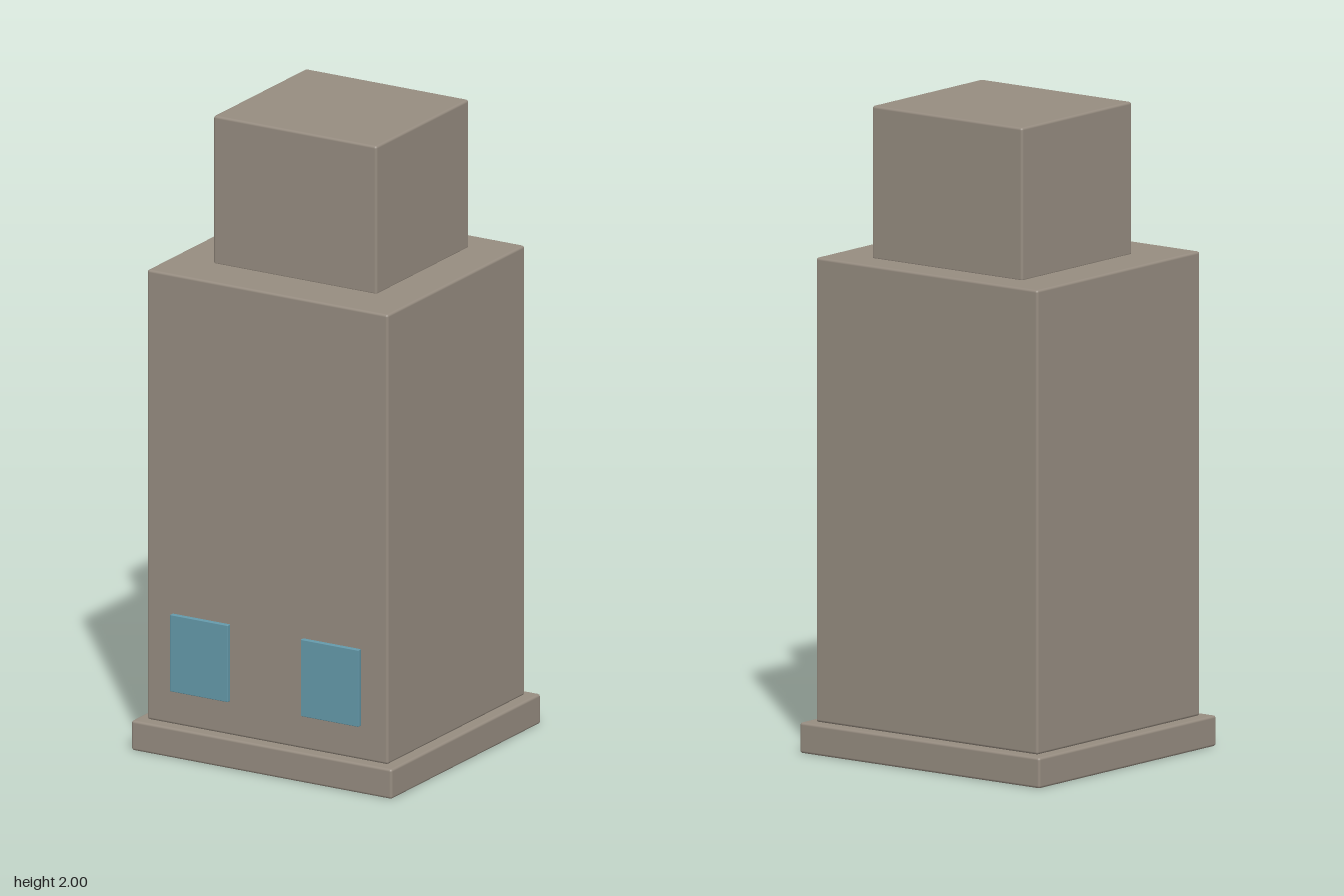
import * as THREE from 'three';
import { RoundedBoxGeometry } from 'three/addons/geometries/RoundedBoxGeometry.js';

const stone = new THREE.MeshStandardMaterial({ color: 0x968c80 });
stone.name = 'warm grey stone';
const glass = new THREE.MeshStandardMaterial({ color: 0x6499aa });
glass.name = 'blue glass';

export function createModel() {
  const tower = new THREE.Group();
  tower.name = 'tower';

  // Softly bevelled block given by its size, base height and depth position
  function block(name, [w, h, d], [x, y, z], material, bevel) {
    const mesh = new THREE.Mesh(new RoundedBoxGeometry(w, h, d, 2, bevel), material);
    mesh.name = name;
    mesh.position.set(x, y + h / 2, z);
    tower.add(mesh);
  }

  // Stacked masses: plinth, main body and set-back upper storey
  block('plinth', [0.925, 0.095, 0.87], [0, 0, 0], stone, 0.008);
  block('mainBody', [0.855, 1.435, 0.8], [0, 0.095, 0], stone, 0.008);
  block('upperStorey', [0.58, 0.475, 0.54], [0, 1.525, -0.03], stone, 0.008);

  // Mirrored pair of ground-floor windows on the front
  for (const [name, side] of [['leftWindow', 1], ['rightWindow', -1]]) {
    block(name, [0.205, 0.245, 0.016], [side * 0.232, 0.205, 0.411], glass, 0.002);
  }

  return tower;
}
